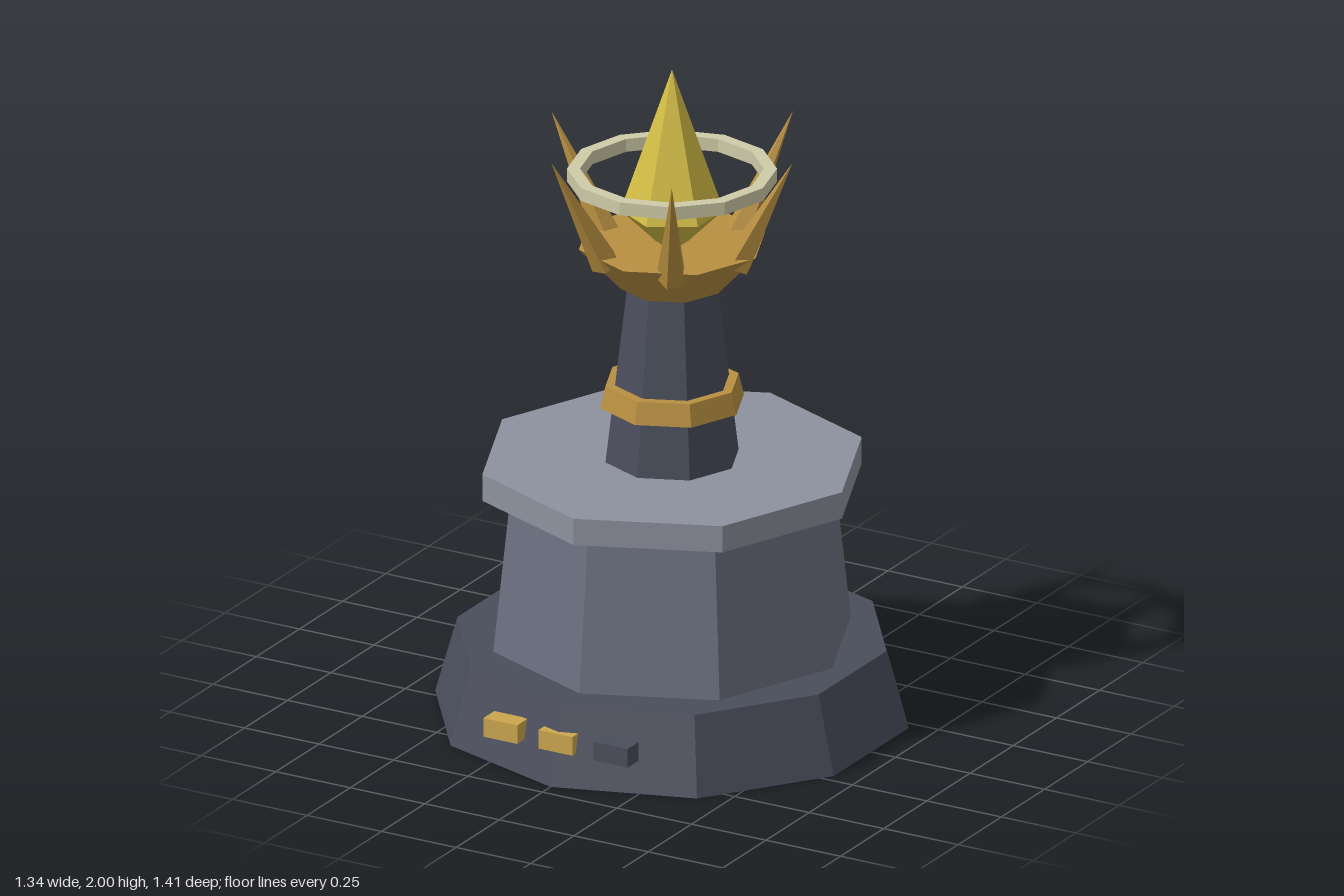
import * as THREE from 'three';

const paint = (name, color) => {
  const m = new THREE.MeshStandardMaterial({ color, flatShading: true });
  m.name = name;
  return m;
};

export function createModel() {
  const model = new THREE.Group();
  model.name = 'trophy';
  const darkStone = paint('dark stone', 0x4a4e5c);
  const midStone = paint('mid stone', 0x6c7180);
  const lightStone = paint('light stone', 0x8d929e);
  const gold = paint('gold', 0xb88f40);
  const brightGold = paint('bright gold', 0xcba64e);
  const crystal = paint('yellow crystal', 0xd4bd45);
  const ivory = paint('ivory', 0xcfcba8);

  const add = (name, geometry, material, x = 0, y = 0, z = 0) => {
    const mesh = new THREE.Mesh(geometry, material);
    mesh.name = name;
    mesh.position.set(x, y, z);
    model.add(mesh);
    return mesh;
  };
  // Faceted tier between two heights
  const tier = (name, material, sides, y0, y1, r0, r1) =>
    add(name, new THREE.CylinderGeometry(r1, r0, y1 - y0, sides), material, 0, (y0 + y1) / 2);

  // Pedestal and column
  tier('base', darkStone, 10, 0, 0.235, 0.703, 0.637);
  tier('plinth', midStone, 8, 0.235, 0.71, 0.537, 0.486);
  tier('plinthCap', lightStone, 8, 0.71, 0.792, 0.57, 0.57);
  tier('column', darkStone, 8, 0.792, 1.33, 0.2, 0.135);
  tier('columnBand', gold, 8, 0.963, 1.03, 0.216, 0.2);
  tier('crownBowl', gold, 8, 1.33, 1.465, 0.154, 0.28);

  // Small blocks on the front of the base
  [[-0.185, brightGold], [0, brightGold], [0.185, darkStone]].forEach(([x, material], i) =>
    add('baseBlock' + (i + 1), new THREE.BoxGeometry(0.114, 0.058, 0.064), material, x, 0.128, 0.643));

  // Six spikes leaning outward
  const lean = Math.atan2(0.185, 0.355);
  for (let i = 0; i < 6; i++) {
    const a = (i * Math.PI) / 3;
    const spike = add('crownSpike' + (i + 1), new THREE.ConeGeometry(0.046, 0.4, 5), gold,
      Math.cos(a) * 0.3125, 1.6125, -Math.sin(a) * 0.3125);
    spike.rotation.set(0, a, -lean, 'YXZ');
  }

  // Crystal: tall upper point, short lower point
  tier('crystalTop', crystal, 6, 1.56, 2, 0.15, 0);
  tier('crystalBottom', crystal, 6, 1.42, 1.56, 0, 0.15);

  // Floating halo with a square section
  const section = [[0.267, 1.65], [0.305, 1.65], [0.305, 1.69], [0.267, 1.69], [0.267, 1.65]];
  add('halo', new THREE.LatheGeometry(section.map(([r, y]) => new THREE.Vector2(r, y)), 12), ivory);

  return model;
}
